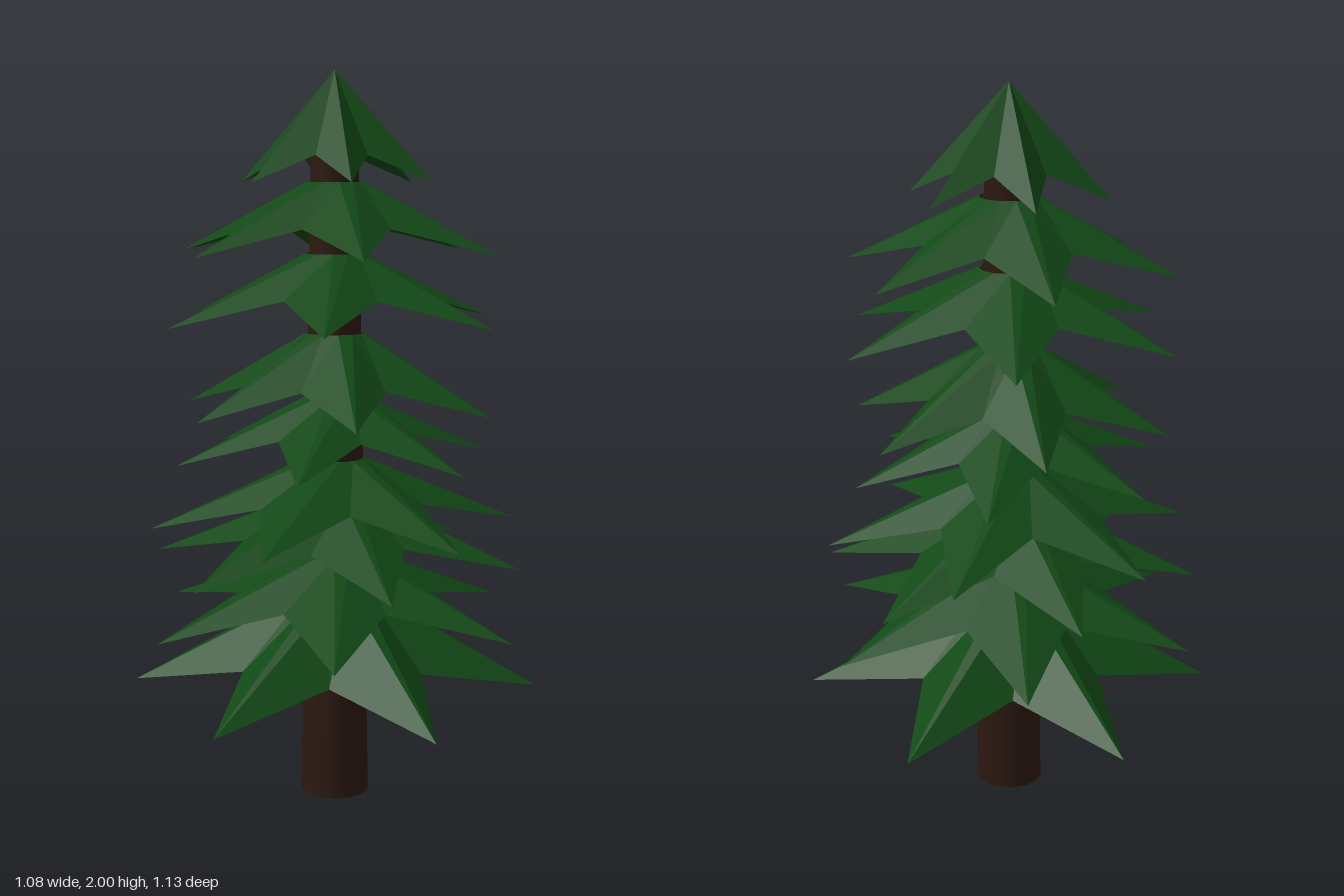
import * as THREE from 'three';

const POINTS = 6;
const VALLEY_RADIUS = 0.5; // valley radius as a share of the tip radius
const VALLEY_RISE = 0.07; // valleys sit above the tips

// Star-shaped skirt of needles: a collar on the trunk, drooping tips, hollowed underside
function branchTier({ tipY, topY, radius, angle, collar = 0.08, underY }) {
  const n = POINTS * 2;
  const start = THREE.MathUtils.degToRad(angle);
  const ring = (radiusAt, heightAt) => Array.from({ length: n }, (_, i) => {
    const a = start + (i / n) * Math.PI * 2;
    return [radiusAt(i) * Math.cos(a), heightAt(i), radiusAt(i) * Math.sin(a)];
  });
  const rings = [
    ring(() => collar, () => topY),
    ring((i) => (i % 2 ? radius * VALLEY_RADIUS : radius), (i) => (i % 2 ? tipY + VALLEY_RISE : tipY)),
    ring(() => 0.05, () => underY ?? tipY + (topY - tipY) * 0.6),
  ];
  const positions = [];
  for (let r = 0; r < rings.length - 1; r++) {
    const [upper, lower] = [rings[r], rings[r + 1]];
    for (let i = 0; i < n; i++) {
      const j = (i + 1) % n;
      if (r > 0 || collar > 0) positions.push(...upper[i], ...upper[j], ...lower[j]);
      positions.push(...upper[i], ...lower[j], ...lower[i]);
    }
  }
  const geometry = new THREE.BufferGeometry();
  geometry.setAttribute('position', new THREE.Float32BufferAttribute(positions, 3));
  geometry.computeVertexNormals();
  return geometry;
}

export function createModel() {
  const tree = new THREE.Group();
  tree.name = 'pineTree';

  const bark = new THREE.MeshStandardMaterial({ color: 0x2b1810 });
  const needles = new THREE.MeshStandardMaterial({
    color: 0x124816, flatShading: true, side: THREE.DoubleSide,
  });

  // Tapered trunk, ending inside the crown
  const trunk = new THREE.Mesh(new THREE.CylinderGeometry(0.063, 0.095, 1.86, 16), bark);
  trunk.name = 'trunk';
  trunk.position.y = 0.93;
  tree.add(trunk);

  // Branch tiers from the ground up, each turned by its own angle
  const tiers = [
    { tipY: 0.31, topY: 0.58, radius: 0.565, angle: 90, collar: 0.09 },
    { tipY: 0.5, topY: 0.69, radius: 0.541, angle: -3 },
    { tipY: 0.665, topY: 0.855, radius: 0.52, angle: -19 },
    { tipY: 0.77, topY: 0.955, radius: 0.51, angle: 18 },
    { tipY: 0.955, topY: 1.125, radius: 0.445, angle: 9 },
    { tipY: 1.09, topY: 1.3, radius: 0.447, angle: -10 },
    { tipY: 1.33, topY: 1.515, radius: 0.485, angle: 0 },
    { tipY: 1.515, topY: 1.705, radius: 0.46, angle: -12 },
    { tipY: 1.705, topY: 2, radius: 0.275, angle: -12, collar: 0, underY: 1.82 },
  ];
  tiers.forEach((tier, i) => {
    const mesh = new THREE.Mesh(branchTier(tier), needles);
    mesh.name = i === tiers.length - 1 ? 'crown' : `branchTier${i + 1}`;
    tree.add(mesh);
  });
  return tree;
}
